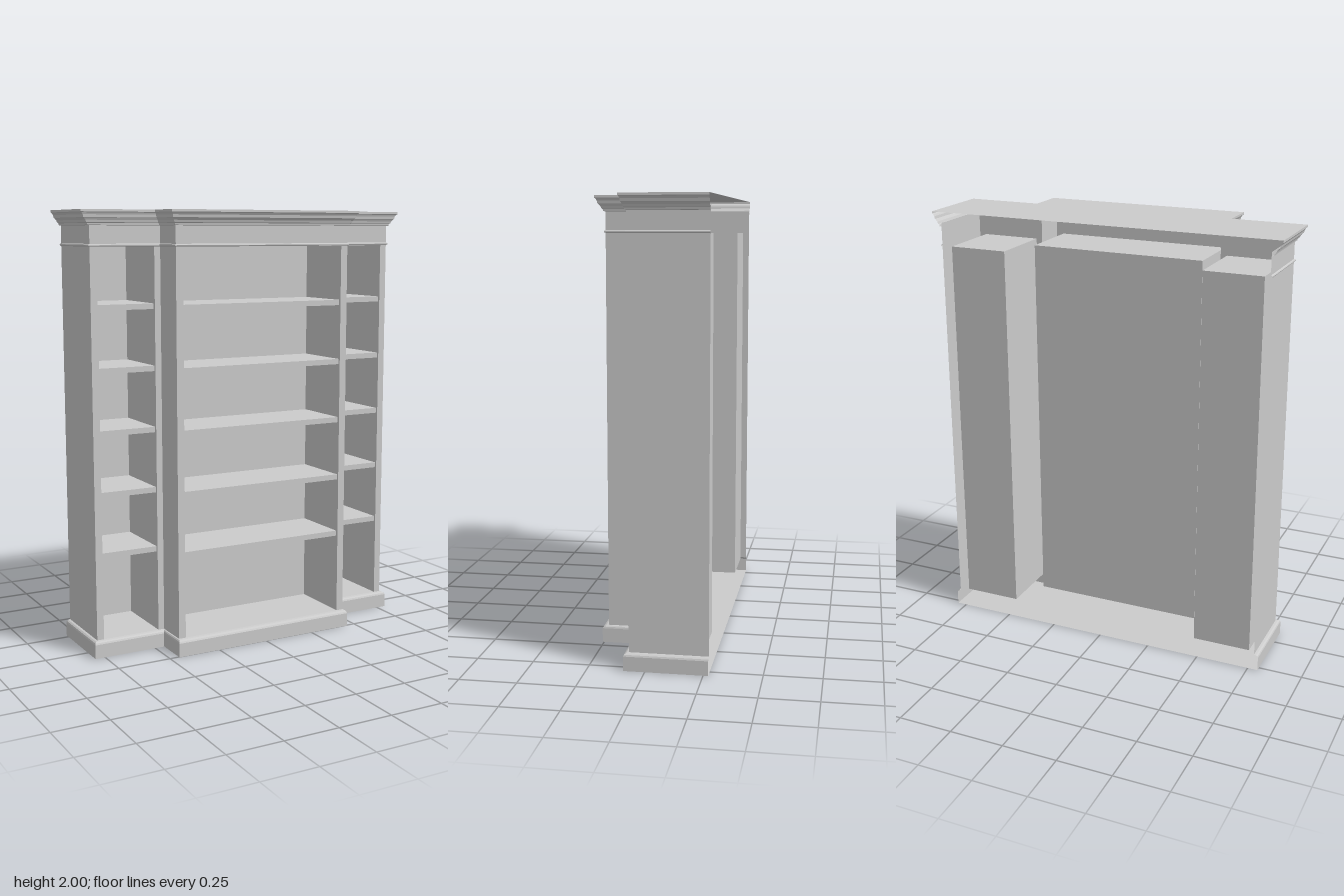
import * as THREE from 'three';

const mat = new THREE.MeshStandardMaterial({ color: 0xcccccc, side: THREE.DoubleSide });

// Plan outlines: half width, half width of projecting centre, front z of wings, front z of centre
const BODY = [0.778, 0.444, 0.071, 0.23];
const CROWN = [0.825, 0.48, 0.098, 0.272];
const PLINTH = [0.797, 0.455, 0.093, 0.257];
const BACK = -0.272, FLOOR = 0.078, HEAD = 1.84;

// Stepped plan from back left round the front to back right, open at the back
const plan = ([w, c, zw, zc]) => [
  [-w, BACK], [-w, zw], [-c, zw], [-c, zc], [c, zc], [c, zw], [w, zw], [w, BACK],
];

export function createModel() {
  const group = new THREE.Group();
  const add = (name, geometry, x = 0, y = 0, z = 0) => {
    const mesh = new THREE.Mesh(geometry, mat);
    mesh.name = name;
    mesh.position.set(x, y, z);
    group.add(mesh);
    return mesh;
  };

  // Mitred moulding: profile points are [0 = body line .. 1 = outer line, height]
  const moulding = (name, outer, profile) => {
    const rings = profile.map(([t, y]) =>
      plan(BODY.map((b, i) => b + (outer[i] - b) * t)).map(([x, z]) => [x, y, z]));
    const pos = [];
    for (let i = 0; i < rings.length - 1; i++) {
      for (let j = 0; j < rings[i].length - 1; j++) {
        const a = rings[i][j], b = rings[i][j + 1], c = rings[i + 1][j + 1], d = rings[i + 1][j];
        pos.push(...a, ...b, ...c, ...a, ...c, ...d);
      }
    }
    const g = new THREE.BufferGeometry();
    g.setAttribute('position', new THREE.Float32BufferAttribute(pos, 3));
    g.computeVertexNormals();
    add(name, g);
  };

  // Flat horizontal sheet in the shape of the plan
  const sheet = (name, outline, y) => {
    const shape = new THREE.Shape(plan(outline).map(([x, z]) => new THREE.Vector2(x, -z)));
    add(name, new THREE.ShapeGeometry(shape).rotateX(-Math.PI / 2), 0, y);
  };

  // Face frame: two stiles and a frieze round an opening
  const frame = (name, x0, x1, o0, o1, z) => {
    const pts = [[x0, FLOOR], [o0, FLOOR], [o0, HEAD], [o1, HEAD], [o1, FLOOR],
      [x1, FLOOR], [x1, 1.95], [x0, 1.95]];
    add(name, new THREE.ShapeGeometry(new THREE.Shape(pts.map(p => new THREE.Vector2(...p)))), 0, 0, z);
  };

  // Upright sheet facing sideways
  const sidePanel = (name, x, z0, z1) => {
    const g = new THREE.PlaneGeometry(z1 - z0, 1.95 - FLOOR).rotateY(Math.sign(x) * Math.PI / 2);
    add(name, g, x, (1.95 + FLOOR) / 2, (z0 + z1) / 2);
  };

  // Open-fronted compartment with its five shelves
  const compartment = (name, x0, x1, z0, z1) => {
    const w = x1 - x0, cx = (x0 + x1) / 2;
    const g = new THREE.BoxGeometry(w, HEAD - FLOOR, z1 - z0);
    g.setIndex([...g.index.array].filter((_, i) => i < 24 || i >= 30)); // drop the front face
    g.clearGroups();
    add(name + 'Lining', g, cx, (HEAD + FLOOR) / 2, (z0 + z1) / 2);
    const depth = z1 - 0.012 - z0;
    for (let i = 0; i < 5; i++) {
      add(name + 'Shelf', new THREE.BoxGeometry(w, 0.025, depth), cx, 0.463 + i * 0.2785, z0 + depth / 2);
    }
  };

  // Centre section
  const [w, c, zw, zc] = BODY;
  frame('centreFrame', -c, c, -0.41, 0.41, zc);
  compartment('centre', -0.41, 0.41, -0.07, zc);

  // Wings
  for (const [side, s] of [['left', 1], ['right', -1]]) {
    const span = (a, b) => [a * s, b * s].sort((p, q) => p - q);
    frame(side + 'Frame', ...span(c, w), ...span(0.473, 0.745), zw);
    compartment(side, ...span(0.473, 0.745), -0.245, zw);
    sidePanel(side + 'OuterSide', s * w, BACK, zw);
    sidePanel(side + 'CentreReturn', s * c, zw, zc);
  }

  // Bead below the frieze
  moulding('friezeBead', CROWN, [[0, 1.841], [0.12, 1.843], [0.16, 1.847], [0.12, 1.851], [0, 1.853]]);

  // Crown moulding and top
  moulding('crown', CROWN, [
    [0, 1.932], [0.2, 1.934], [0.24, 1.942], [0.36, 1.945], [0.45, 1.955], [0.62, 1.964],
    [0.7, 1.966], [0.76, 1.978], [0.88, 1.986], [1, 1.99], [1, 2],
  ]);
  sheet('top', CROWN, 2);

  // Plinth and bottom
  moulding('plinth', PLINTH, [[1, 0], [1, 0.064], [0.85, 0.071], [0.5, 0.076], [0, 0.078]]);
  sheet('bottom', PLINTH, 0);

  return group;
}
